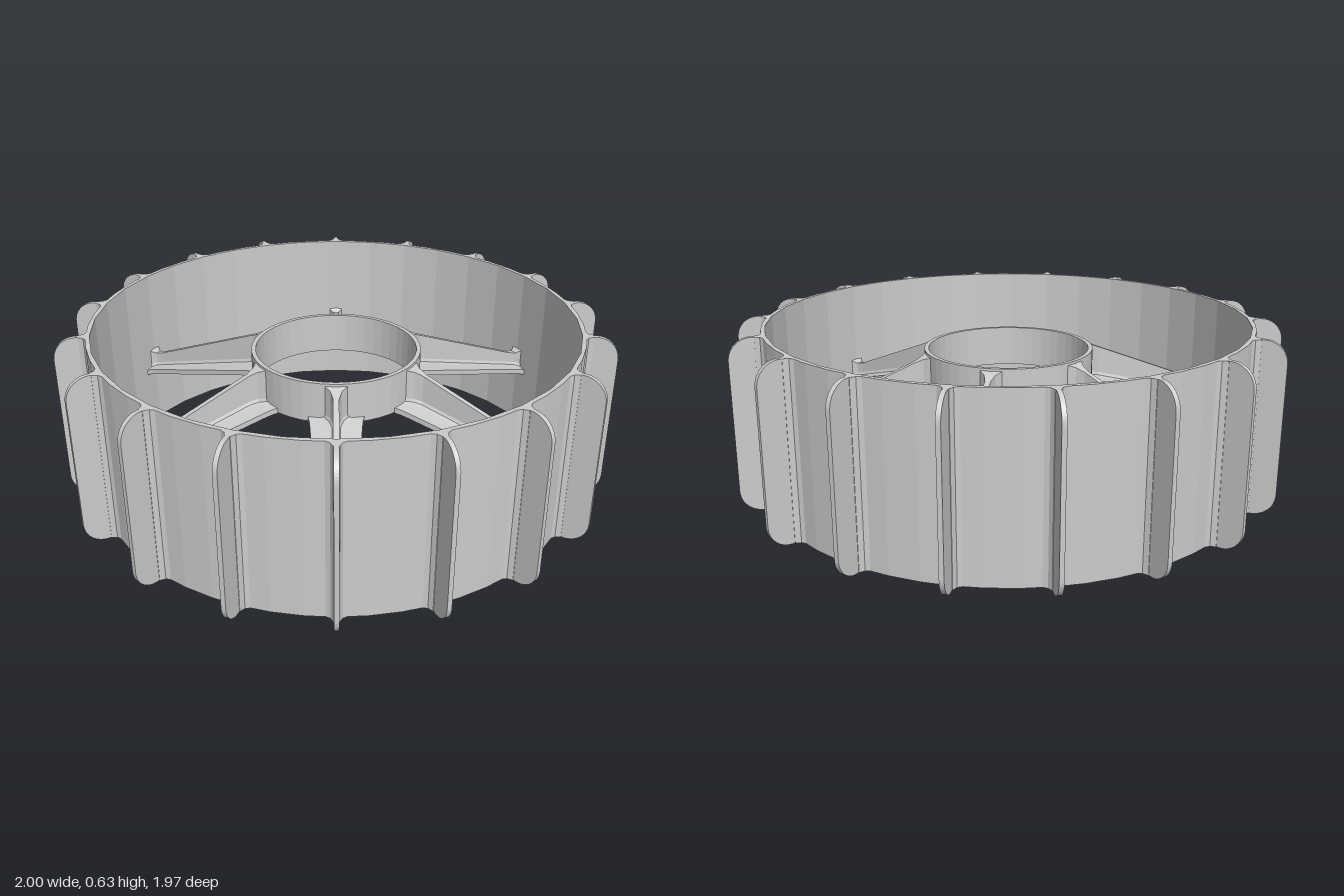
import * as THREE from 'three';

const H = 0.63, PADDLES = 18, SPOKES = 6;
const material = new THREE.MeshStandardMaterial({ color: 0xcccccc, flatShading: true });

const polar = (r, degrees) => {
  const a = THREE.MathUtils.degToRad(degrees);
  return new THREE.Vector2(r * Math.cos(a), r * Math.sin(a));
};

function addPart(parent, name, geometry) {
  const mesh = new THREE.Mesh(geometry, material);
  mesh.name = name;
  parent.add(mesh);
  return mesh;
}

// Thin outer band whose outline swells into a fillet at each paddle
function rimGeometry() {
  const outline = [], inner = [];
  const step = 360 / PADDLES;
  const fillet = [[-6.5, 0.885], [-2.2, 0.884], [-1.2, 0.892], [-0.6, 0.91],
    [0.6, 0.91], [1.2, 0.892], [2.2, 0.884], [6.5, 0.885]];
  for (let i = 0; i < PADDLES; i++) {
    for (const [a, r] of fillet) outline.push(polar(r, i * step + a));
  }
  for (let i = 0; i < 36; i++) inner.push(polar(0.871, i * 10));
  const shape = new THREE.Shape(outline);
  shape.holes.push(new THREE.Path(inner));
  return new THREE.ExtrudeGeometry(shape, { depth: H, bevelEnabled: false }).rotateX(-Math.PI / 2);
}

// Radial plate with rounded outer corners
function paddleGeometry() {
  const r0 = 0.878, r1 = 1, c = 0.08, t = 0.016;
  const s = new THREE.Shape();
  s.moveTo(r0, 0);
  s.lineTo(r1 - c, 0);
  s.absarc(r1 - c, c, c, -Math.PI / 2, 0, false);
  s.lineTo(r1, H - c);
  s.absarc(r1 - c, H - c, c, 0, Math.PI / 2, false);
  s.lineTo(r0, H);
  s.closePath();
  return new THREE.ExtrudeGeometry(s, { depth: t, bevelEnabled: false, curveSegments: 6 })
    .translate(0, 0, -t / 2);
}

// Inverted T lofted outward: a tapering flange with a thin upright web
function spokeGeometry() {
  // radius, flange half width, web half thickness, bottom, top
  const stations = [
    [0.300, 0.098, 0.046, 0.370, 0.515],
    [0.313, 0.097, 0.036, 0.367, 0.510],
    [0.330, 0.093, 0.020, 0.363, 0.503],
    [0.360, 0.090, 0.010, 0.355, 0.490],
    [0.820, 0.056, 0.010, 0.232, 0.308],
    [0.850, 0.055, 0.013, 0.224, 0.302],
    [0.864, 0.058, 0.022, 0.219, 0.308],
    [0.875, 0.064, 0.032, 0.214, 0.318],
  ];
  const thick = 0.02, f = 0.016;
  const positions = [], index = [];
  let n = 0;
  for (const [r, w, t, yb, yt] of stations) {
    const y = yb + thick;
    const half = [[w, yb], [w, y], [t + f, y + 0.002], [t + f * 0.3, y + f * 0.3], [t, y + f], [t, yt]];
    const section = [...half, ...half.map(([z, h]) => [-z, h]).reverse()];
    n = section.length;
    // Each station follows the round walls it meets
    for (const [z, h] of section) positions.push(Math.sqrt(r * r - z * z), h, z);
  }
  for (let i = 0; i < stations.length - 1; i++) {
    for (let j = 0; j < n; j++) {
      const a = i * n + j, b = i * n + (j + 1) % n, c = b + n, d = a + n;
      index.push(a, d, c, a, c, b);
    }
  }
  const g = new THREE.BufferGeometry();
  g.setAttribute('position', new THREE.Float32BufferAttribute(positions, 3));
  g.setIndex(index);
  g.computeVertexNormals();
  return g;
}

// Short open sleeve at the centre
function hubGeometry() {
  const ri = 0.294, ro = 0.31, y0 = 0.37, y1 = 0.52;
  const profile = [[ri, y0], [ro, y0], [ro, y1], [ri, y1], [ri, y0]];
  return new THREE.LatheGeometry(profile.map(([x, y]) => new THREE.Vector2(x, y)), 48);
}

export function createModel() {
  const wheel = new THREE.Group();
  wheel.name = 'paddleWheel';
  addPart(wheel, 'rim', rimGeometry());
  addPart(wheel, 'hub', hubGeometry());

  const paddle = paddleGeometry();
  for (let i = 0; i < PADDLES; i++) {
    addPart(wheel, 'paddle', paddle).rotation.y = (i / PADDLES) * Math.PI * 2;
  }
  const spoke = spokeGeometry();
  for (let i = 0; i < SPOKES; i++) {
    addPart(wheel, 'spoke', spoke).rotation.y = (i / SPOKES) * Math.PI * 2;
  }
  return wheel;
}
